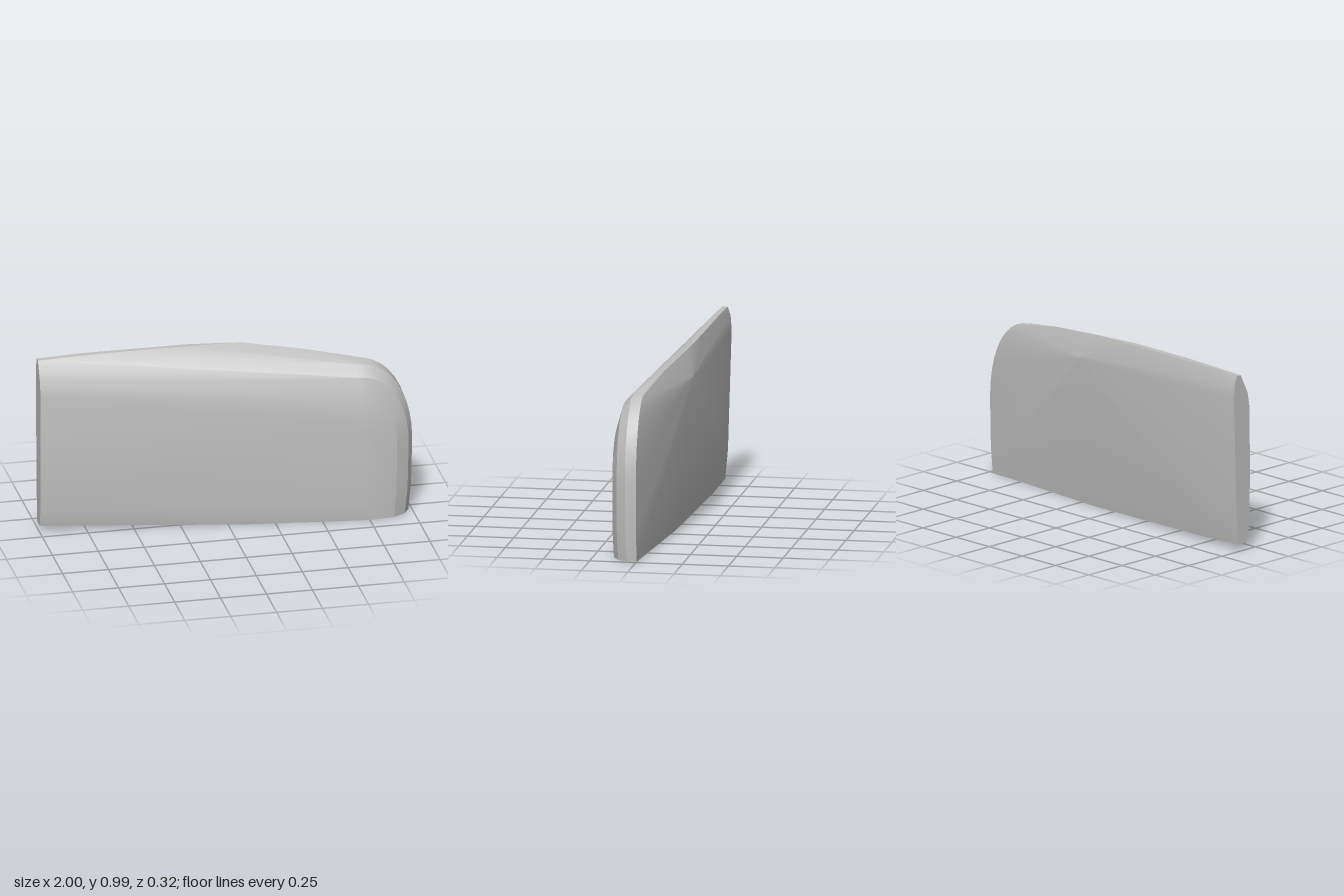
import * as THREE from 'three';
import { ConvexGeometry } from 'three/addons/geometries/ConvexGeometry.js';
import { toCreasedNormals } from 'three/addons/utils/BufferGeometryUtils.js';

export function createModel() {
  const group = new THREE.Group();
  const grey = new THREE.MeshStandardMaterial({ color: 0xc0c0c0 });
  grey.name = 'grey';
  const points = [];
  const add = (x, y, z) => points.push(new THREE.Vector3(x, y, z));

  // Rounded outer end: nested outlines [z, width, height, foot inset] growing towards the back
  const rings = [
    [0, 0.3, 0.47, 0.02],
    [0.06, 0.3, 0.455, 0.02],
    [0.11, 0.27, 0.4, 0.02],
    [0.145, 0.2, 0.28, 0.015],
    [0.16, 0.08, 0.14, 0],
  ];
  const steps = 10;
  for (const [z, w, h, inset] of rings) {
    for (let i = 0; i <= steps; i++) {
      const a = (i / steps) * Math.PI / 2;
      add(0.7 + w * Math.cos(a) ** 0.93, 0.41 + h * Math.sin(a) ** 0.93, z);
    }
    add(0.7 + w - inset * 0.3, 0.15, z);
    add(0.7 + w - inset, 0, Math.max(0, z - 0.006));
  }
  add(0.7, 0.1, 0.154);
  add(0.7, 0, 0.148);

  // Flat cut end: cross-section [y, z]
  const cutEnd = [
    [0.037, -0.065], [0.14, -0.044], [0.45, -0.04], [0.79, -0.044], [0.87, -0.058],
    [0.975, -0.11], [0.975, -0.138], [0.93, -0.154], [0.85, -0.16], [0.2, -0.14], [0.037, -0.125],
  ];
  for (const [y, z] of cutEnd) add(-1, y, z);

  // Top ridge
  add(-0.8, 0.983, -0.14);
  add(-0.6, 0.985, -0.108);
  add(-0.2, 0.985, -0.106);
  add(-0.2, 0.984, -0.135);
  add(0.1, 0.975, -0.12);
  add(0.45, 0.93, -0.056);

  // Back apex and bottom rear edge
  add(0.17, 0.84, -0.16);
  add(-0.65, 0.2, -0.14);
  add(-0.7, 0.025, -0.116);
  add(0.15, 0, -0.065);
  add(0.1, 0, 0.07);

  const panel = new THREE.Mesh(toCreasedNormals(new ConvexGeometry(points), 0.3), grey);
  panel.name = 'curvedPanel';
  group.add(panel);
  return group;
}
